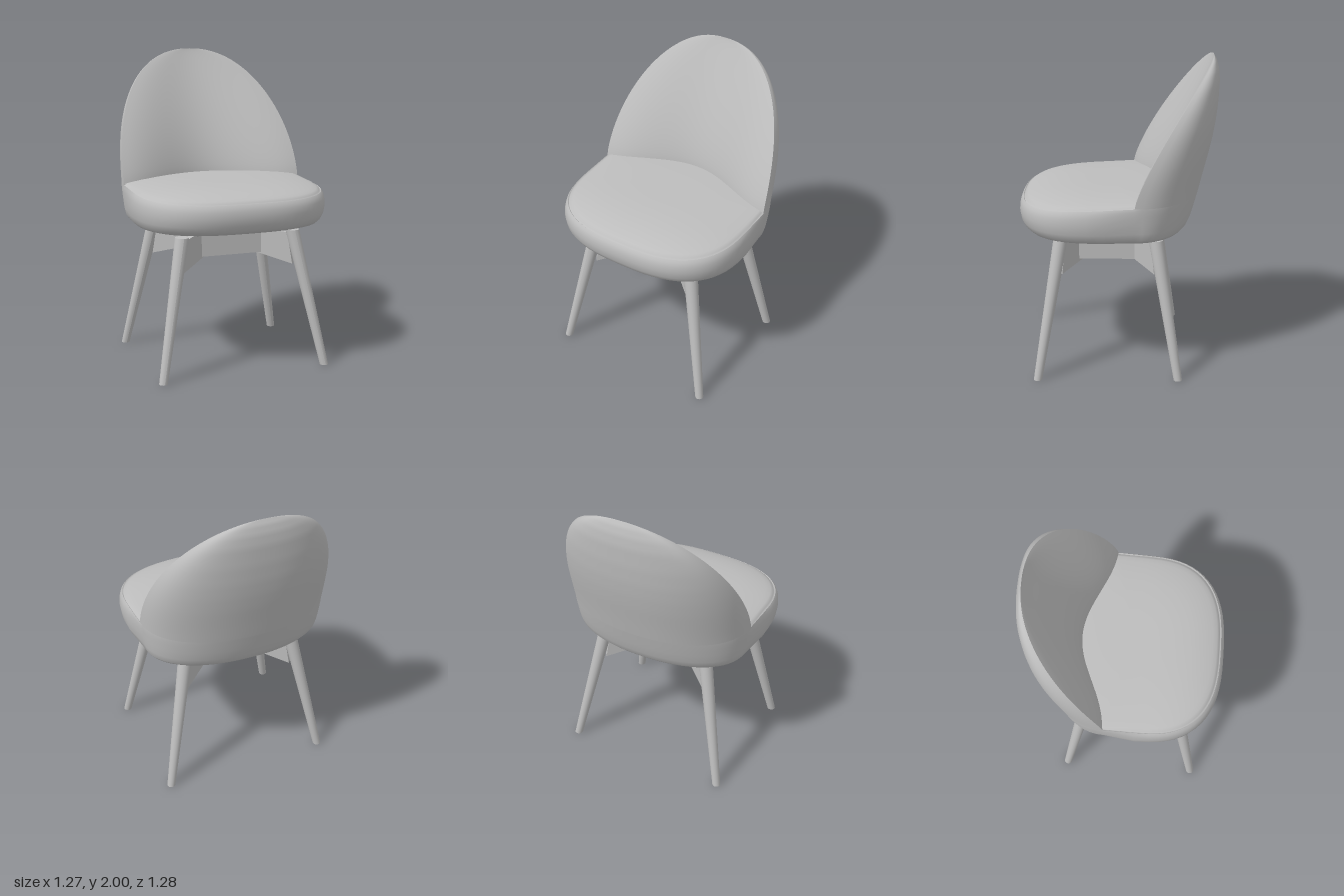
import * as THREE from 'three';

const fabric = new THREE.MeshStandardMaterial({ color: 0xbdbdbd, side: THREE.DoubleSide });
fabric.name = 'lightGrey';

const V = (x, y, z) => new THREE.Vector3(x, y, z);
const clamp = THREE.MathUtils.clamp;
// rounded-square cosine and sine
const sq = (c, p) => Math.sign(c) * Math.abs(c) ** (2 / p);

// piecewise interpolation through [key, value] pairs
function lerpTable(table, k) {
  let i = 1;
  while (i < table.length - 1 && k > table[i][0]) i++;
  const [k0, v0] = table[i - 1], [k1, v1] = table[i];
  return v0 + (v1 - v0) * clamp((k - k0) / (k1 - k0), 0, 1);
}

// skin a grid of cross-sections
function loft(rows, closed) {
  const n = rows[0].length, idx = [];
  for (let i = 0; i < rows.length - 1; i++) {
    for (let j = 0; j < (closed ? n : n - 1); j++) {
      const k = (j + 1) % n;
      const a = i * n + j, b = i * n + k, c = a + n, d = b + n;
      idx.push(a, c, b, b, c, d);
    }
  }
  const g = new THREE.BufferGeometry().setFromPoints(rows.flat());
  g.setIndex(idx);
  g.computeVertexNormals();
  return g;
}

// depth of the rear surface on the centre line, by height
const rearProfile = [[0.9, -0.37], [0.915, -0.415], [0.93, -0.442], [0.96, -0.462], [1.02, -0.482],
  [1.15, -0.518], [1.27, -0.547], [1.4, -0.58], [1.5, -0.602], [1.6, -0.619], [1.72, -0.632],
  [1.85, -0.638], [1.92, -0.632], [1.97, -0.618], [2, -0.6]];

const HALF = 32;
// seat outline: wide curve in front, deeper shell curve behind
function seatRing(y, frontW, frontZ, rearW) {
  const lift = 0.04 * clamp((y - 0.95) / 0.16, 0, 1);
  const rearZ = lerpTable(rearProfile, y + lift);
  const pts = [];
  const add = (x, z) => pts.push(V(x, y + lift * clamp((0.6 - z) / 0.7, 0, 1), z));
  for (let j = 0; j <= HALF; j++) {
    const t = Math.PI * j / HALF;
    add(frontW * sq(Math.cos(t), 2.7), 0.1 + (frontZ - 0.1) * sq(Math.sin(t), 2.7));
  }
  for (let j = 0; j <= HALF; j++) {
    const t = Math.PI * (1 + j / HALF);
    add(rearW * sq(Math.cos(t), 2.2), -0.1 + (-0.1 - rearZ) * sq(Math.sin(t), 2.2));
  }
  return pts;
}

const shrink = (ring, s, yOf) => ring.map(p => V(p.x * s, yOf(p.y), 0.06 + (p.z - 0.06) * s));

function createSeat() {
  const group = new THREE.Group();
  group.name = 'seat';
  const rings = [
    [0.915, 0.56, 0.555, 0.55], [0.925, 0.59, 0.59, 0.575], [0.945, 0.61, 0.612, 0.59],
    [0.98, 0.626, 0.632, 0.6], [1.03, 0.634, 0.641, 0.607], [1.07, 0.631, 0.637, 0.612],
    [1.095, 0.624, 0.628, 0.614], [1.11, 0.613, 0.616, 0.614],
  ].map(r => seatRing(...r));
  const bottom = [0.001, 0.5, 0.85].map(s => shrink(rings[0], s, () => 0.903 + 0.008 * s * s));
  const base = new THREE.Mesh(loft([...bottom, ...rings], true), fabric);
  base.name = 'seatBase';

  // domed cushion with a shallow seam around it
  const edge = rings[rings.length - 1];
  const rows = [edge, shrink(edge, 0.988, y => y - 0.008), shrink(edge, 0.98, y => y + 0.006)];
  for (const s of [0.95, 0.9, 0.8, 0.65, 0.45, 0.25, 0.001]) {
    rows.push(shrink(edge, s, y => y + 0.006 + (1.18 - y) * (1 - s ** 4)));
  }
  const cushion = new THREE.Mesh(loft(rows, true), fabric);
  cushion.name = 'seatCushion';
  group.add(base, cushion);
  return group;
}

function createBackrest() {
  const group = new THREE.Group();
  group.name = 'backrest';
  const outer = [], inner = [], ROWS = 36;
  for (let i = 0; i <= ROWS; i++) {
    const s = Math.sin(Math.PI / 2 * i / ROWS);
    const y = 1.15 + 0.85 * s;
    const w = 0.614 * Math.max(0, 1 - s ** 2.2) ** (1 / 2.2);
    const rimZ = -0.1 - 0.5 * s ** 1.3;
    const rearZ = lerpTable(rearProfile, y);
    const hollow = 0.18 * (1 - s) ** 0.8;
    const o = [], n = [];
    for (let j = 0; j <= HALF; j++) {
      const t = Math.PI * (1 + j / HALF);
      o.push(V(w * sq(Math.cos(t), 2.2), y, rimZ + (rimZ - rearZ) * sq(Math.sin(t), 2.2)));
      const u = 1 - 2 * j / HALF;
      n.push(V(w * u, y, rimZ - hollow * (0.5 + 0.5 * Math.cos(Math.PI * u))));
    }
    outer.push(o);
    inner.push(n);
  }
  const shell = new THREE.Mesh(loft(outer, false), fabric);
  shell.name = 'backShell';
  const pad = new THREE.Mesh(loft(inner, false), fabric);
  pad.name = 'backPad';
  group.add(shell, pad);
  return group;
}

const MID_Z = 0.065; // centre of the leg frame

function createBase() {
  const group = new THREE.Group();
  group.name = 'legFrame';

  // tapered legs, sheared outwards so both ends stay level
  for (const sx of [-1, 1]) for (const sz of [-1, 1]) {
    const g = new THREE.CylinderGeometry(0.045, 0.027, 0.88, 20);
    const p = g.attributes.position;
    for (let i = 0; i < p.count; i++) {
      const k = 0.5 - p.getY(i) / 0.88;
      p.setX(i, p.getX(i) + sx * (0.372 + 0.173 * k));
      p.setZ(i, p.getZ(i) + sz * (0.3 + 0.145 * k));
    }
    g.computeVertexNormals();
    const leg = new THREE.Mesh(g, fabric);
    leg.position.set(0, 0.44, MID_Z);
    leg.name = (sz > 0 ? 'front' : 'rear') + (sx > 0 ? 'Left' : 'Right') + 'Leg';
    group.add(leg);

    // bracket reaching from the centre to the leg
    const shape = new THREE.Shape([[0, 0.73], [0.25, 0.715], [0.485, 0.655], [0.45, 0.86], [0.42, 0.862],
      [0.14, 0.905], [0, 0.905]].map(([x, y]) => new THREE.Vector2(x, y)));
    const plate = new THREE.ExtrudeGeometry(shape, { depth: 0.036, bevelEnabled: false });
    plate.translate(0, 0, -0.018);
    const bracket = new THREE.Mesh(plate, fabric);
    bracket.rotation.y = -Math.atan2(sz * 0.3, sx * 0.372);
    bracket.position.z = MID_Z;
    bracket.name = 'legBracket';
    group.add(bracket);
  }

  // open rectangular apron
  for (const s of [-1, 1]) {
    const long = new THREE.Mesh(new THREE.BoxGeometry(0.54, 0.14, 0.025), fabric);
    long.position.set(0, 0.788, 0.075 + s * 0.165);
    long.name = 'apronLong';
    const short = new THREE.Mesh(new THREE.BoxGeometry(0.025, 0.14, 0.34), fabric);
    short.position.set(s * 0.258, 0.788, 0.075);
    short.name = 'apronShort';
    group.add(long, short);
  }

  const mount = new THREE.Mesh(new THREE.CylinderGeometry(0.12, 0.12, 0.03, 32), fabric);
  mount.position.set(0, 0.897, MID_Z);
  mount.name = 'seatMount';
  group.add(mount);
  return group;
}

export function createModel() {
  const chair = new THREE.Group();
  chair.name = 'chair';
  chair.add(createSeat(), createBackrest(), createBase());
  return chair;
}
